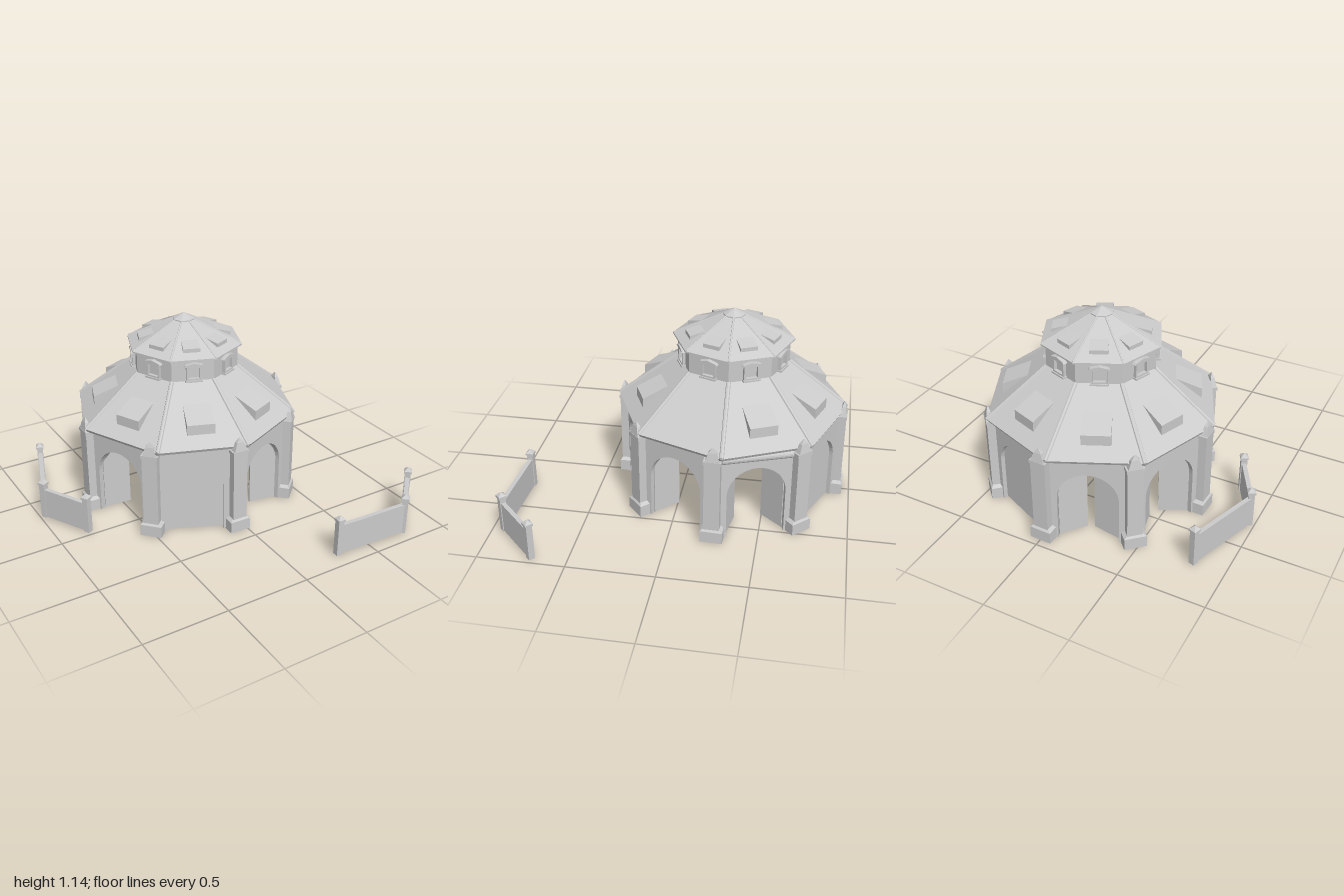
import * as THREE from 'three';

const mat = new THREE.MeshStandardMaterial({ color: 0xcccccc, flatShading: true, side: THREE.DoubleSide });
const rad = THREE.MathUtils.degToRad;
const ROOF_TURN = 2.3, WALL_TURN = -2; // the roof is slightly twisted against the walls

function add(parent, name, geometry, x = 0, y = 0, z = 0) {
  const m = new THREE.Mesh(geometry, mat);
  m.name = name;
  m.position.set(x, y, z);
  parent.add(m);
  return m;
}

// Group whose local +z points outward at the given azimuth
function sector(parent, name, degrees) {
  const g = new THREE.Group();
  g.name = name;
  g.rotation.y = rad(degrees);
  parent.add(g);
  return g;
}

const shapeOf = pts => new THREE.Shape(pts.map(p => new THREE.Vector2(...p)));
const extrude = (shape, depth) =>
  new THREE.ExtrudeGeometry(shape, { depth, bevelEnabled: false, curveSegments: 10 }).translate(0, 0, -depth / 2);
const octagon = pts => new THREE.LatheGeometry(pts.map(p => new THREE.Vector2(...p)), 8);
const box = (w, h, d) => new THREE.BoxGeometry(w, h, d);

// Four-sided tapered block given by widths at bottom and top
function taper(bottom, top, h, depthScale = 1) {
  return new THREE.CylinderGeometry(top / Math.SQRT2, bottom / Math.SQRT2, h, 4, 1)
    .rotateY(Math.PI / 4).scale(1, 1, depthScale);
}

// Thin bar between two points
function bar(parent, name, a, b, r) {
  const d = b.clone().sub(a);
  const m = add(parent, name, new THREE.CylinderGeometry(r, r, d.length(), 8));
  m.position.copy(a).add(b).multiplyScalar(0.5);
  m.quaternion.setFromUnitVectors(new THREE.Vector3(0, 1, 0), d.normalize());
}

const R = 0.65, APOTHEM = R * Math.cos(Math.PI / 8), SIDE = 2 * R * Math.sin(Math.PI / 8);
const ARCH = 0.168, SPRING = 0.275, WALL = 0.06;

function archedWall() {
  const s = new THREE.Shape();
  s.moveTo(-SIDE / 2, 0);
  s.lineTo(-ARCH, 0);
  s.lineTo(-ARCH, SPRING);
  s.absarc(0, SPRING, ARCH, Math.PI, 0, true);
  s.lineTo(ARCH, 0);
  s.lineTo(SIDE / 2, 0);
  s.lineTo(SIDE / 2, 0.56);
  s.lineTo(-SIDE / 2, 0.56);
  return extrude(s, WALL);
}

// Half-arch door leaf with its hinge at the local origin
function doorLeaf() {
  const s = new THREE.Shape();
  s.moveTo(0, 0.005);
  s.lineTo(ARCH, 0.005);
  s.lineTo(ARCH, SPRING + ARCH);
  s.absarc(ARCH, SPRING, ARCH, Math.PI / 2, Math.PI, false);
  return extrude(s, 0.012);
}

// Wedge-shaped skylight from a side profile of [outward, up] points
function skylight(profile, width) {
  return extrude(shapeOf(profile), width).rotateY(-Math.PI / 2);
}

function addPillar(g) {
  const z = 0.645;
  add(g, 'pillarBase', box(0.128, 0.07, 0.085), 0, 0.035, z);
  add(g, 'pillarBaseSlope', taper(0.128, 0.09, 0.015, 0.66), 0, 0.0775, z);
  add(g, 'pillarShaft', box(0.09, 0.44, 0.066), 0, 0.295, z);
  add(g, 'pillarCap', box(0.1, 0.02, 0.074), 0, 0.517, z);
  add(g, 'finialBody', taper(0.082, 0.042, 0.055, 0.5), 0, 0.553, z + 0.015);
  add(g, 'finialTip', taper(0.046, 0.004, 0.028, 0.5), 0, 0.593, z + 0.015);
  // Shallow pilaster inside the corner
  add(g, 'innerPilaster', box(0.08, 0.5, 0.04), 0, 0.25, 0.58);
  add(g, 'innerPilasterBase', box(0.1, 0.07, 0.05), 0, 0.035, 0.578);
}

function addWindow(g) {
  const frame = shapeOf([[-0.045, 0.835], [0.045, 0.835], [0.045, 0.925], [-0.045, 0.925]]);
  frame.holes.push(shapeOf([[-0.034, 0.847], [-0.034, 0.912], [0.034, 0.912], [0.034, 0.847]]));
  add(g, 'windowFrame', extrude(frame, 0.025), 0.004, 0, 0.307);
  add(g, 'windowSill', box(0.1, 0.01, 0.035), 0.004, 0.832, 0.309);
  const pediment = shapeOf([[-0.058, 0.923], [0.058, 0.923], [0.05, 0.932], [0, 0.943], [-0.05, 0.932]]);
  add(g, 'windowPediment', extrude(pediment, 0.035), 0.004, 0, 0.309);
}

// Run of fence panels with a capped post at each [x, z] point
function fence(parent, name, points) {
  const g = new THREE.Group();
  g.name = name;
  parent.add(g);
  points.forEach(([x, z], i) => {
    const [nx, nz] = points[i + 1] ?? points[i - 1];
    const turn = -Math.atan2(nz - z, nx - x);
    const post = new THREE.Group();
    post.name = 'fencePost';
    post.position.set(x, 0, z);
    post.rotation.y = turn;
    g.add(post);
    add(post, 'postShaft', box(0.036, 0.22, 0.036), 0, 0.12, 0);
    add(post, 'postCap', box(0.046, 0.014, 0.046), 0, 0.236, 0);
    add(post, 'postTip', taper(0.046, 0.006, 0.019), 0, 0.2525, 0);
    if (i + 1 < points.length) {
      const panel = add(g, 'fencePanel', box(Math.hypot(nx - x, nz - z), 0.185, 0.026),
        (x + nx) / 2, 0.108, (z + nz) / 2);
      panel.rotation.y = turn;
    }
  });
}

export function createModel() {
  const model = new THREE.Group();
  model.name = 'octagonalPavilion';
  const hall = new THREE.Group();
  hall.name = 'hall';
  hall.position.set(-0.025, 0, -0.27);
  model.add(hall);

  // Walls, door leaves standing open by different angles, and corner pillars
  const doorSwing = [67, 30, 0, 67, 38, 30, 0, 60];
  doorSwing.forEach((swing, i) => {
    const g = sector(hall, 'wallSide', WALL_TURN + 67.5 - 45 * i);
    add(g, 'archedWall', archedWall(), 0, 0, APOTHEM - WALL / 2);
    add(g, 'leftLeaf', doorLeaf(), -ARCH, 0, APOTHEM - 0.03).rotation.y = rad(swing);
    add(g, 'rightLeaf', doorLeaf(), ARCH, 0, APOTHEM - 0.03).rotation.y = Math.PI - rad(swing);
    // Rolled awning on a single side
    if (i === 7) {
      add(g, 'rolledAwning', new THREE.CylinderGeometry(0.027, 0.027, 0.4, 16).rotateZ(Math.PI / 2),
        0, 0.512, APOTHEM - 0.01);
    }
    addPillar(sector(hall, 'pillar', WALL_TURN + 45 * i));
  });

  // Roofs and drum
  const roof = sector(hall, 'roof', ROOF_TURN);
  add(roof, 'mainRoof', octagon([[0.6, 0.535], [0.672, 0.535], [0.682, 0.553], [0.32, 0.832]]));
  add(roof, 'drum', octagon([[0.325, 0.8], [0.325, 0.965]]));
  add(roof, 'upperRoof', octagon([[0.31, 0.958], [0.352, 0.958], [0.352, 0.967], [0.002, 1.128]]));
  add(roof, 'roofCap', octagon([[0.066, 1.092], [0.066, 1.105], [0.002, 1.137]]));

  const largeProfile = [[0.56, 0.59], [0.56, 0.672], [0.405, 0.737], [0.405, 0.69]];
  const smallProfile = [[0.275, 0.97], [0.275, 1.015], [0.185, 1.036], [0.185, 1.01]];
  for (let i = 0; i < 8; i++) {
    const side = sector(roof, 'roofSide', 67.5 - 45 * i);
    if (i > 0) add(side, 'skylight', skylight(largeProfile, 0.16));
    add(side, 'smallSkylight', skylight(smallProfile, 0.1));
    addWindow(side);
    const hip = sector(roof, 'roofHip', 45 * i);
    bar(hip, 'hipRib', new THREE.Vector3(0, 0.552, 0.676), new THREE.Vector3(0, 0.826, 0.322), 0.013);
    bar(hip, 'upperHipRib', new THREE.Vector3(0, 0.967, 0.346), new THREE.Vector3(0, 1.1, 0.06), 0.006);
  }

  // Two free-standing fence corners
  fence(model, 'sideFence', [[-0.82, -0.74], [-0.97, -0.31], [-0.82, -0.03]]);
  fence(model, 'frontFence', [[0.285, 0.905], [0.745, 0.925], [0.967, 0.70]]);
  return model;
}
